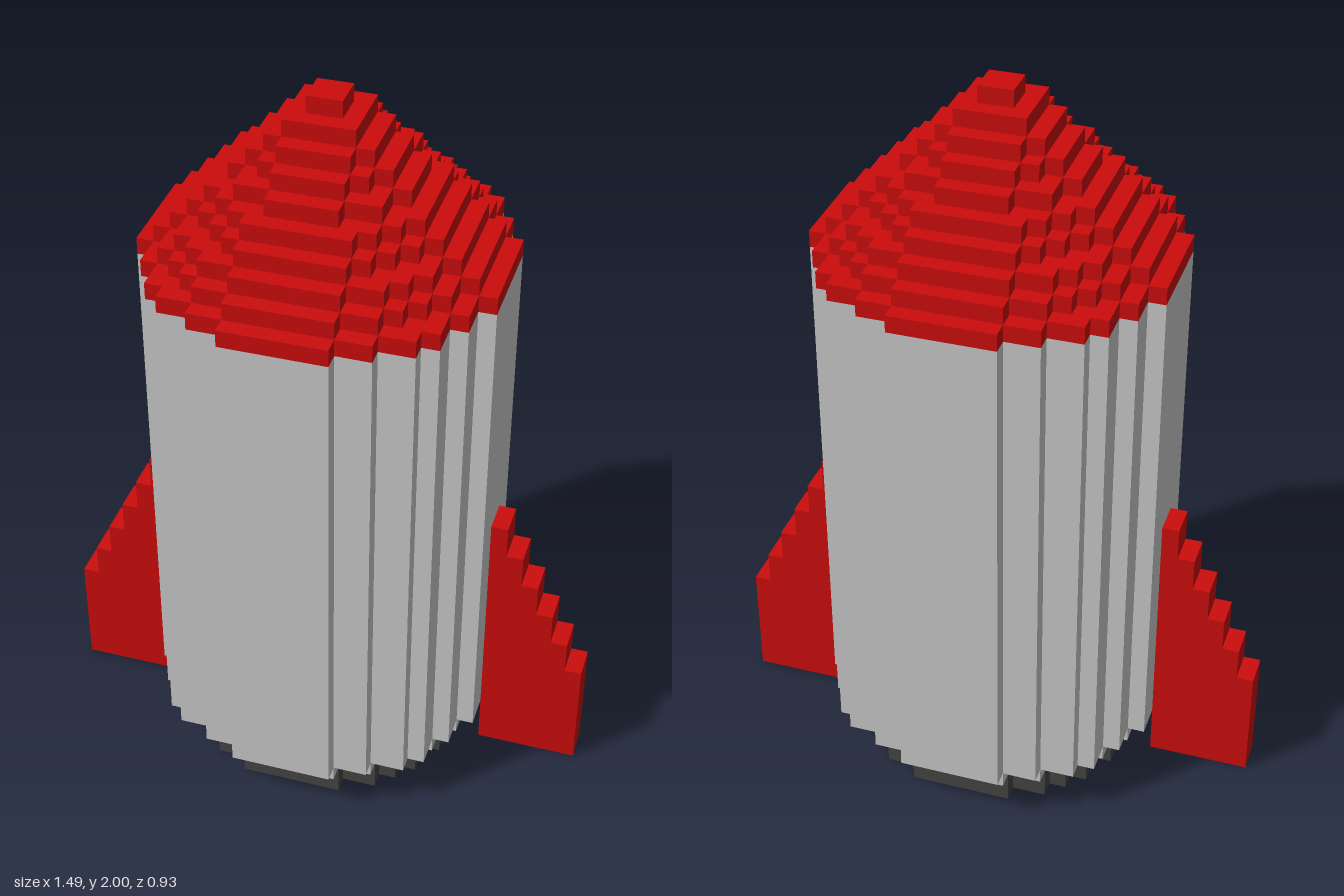
import * as THREE from 'three';

const V = 2 / 43; // edge of one voxel

const red = new THREE.MeshStandardMaterial({ color: 0xcc0c0c });
red.name = 'red';
const grey = new THREE.MeshStandardMaterial({ color: 0xc9c9c9 });
grey.name = 'light grey';
const dark = new THREE.MeshStandardMaterial({ color: 0x444542 });
dark.name = 'dark grey';

// Stepped outline of a voxel disc, r voxels in radius
function discShape(r) {
  const quarter = [];
  for (let row = 1; row <= r; row++) {
    let half = 0;
    while ((half + 0.5) ** 2 + (row - 0.5) ** 2 <= r * r + 0.5) half++;
    quarter.push([half, row - 1], [half, row]);
  }
  const back = quarter.slice().reverse();
  const outline = [
    ...quarter,
    ...back.map(([x, y]) => [-x, y]),
    ...quarter.map(([x, y]) => [-x, -y]),
    ...back.map(([x, y]) => [x, -y]),
  ];
  // Drop repeated points and points in the middle of a straight edge
  const unique = outline.filter((p, i) => {
    const q = outline[(i + 1) % outline.length];
    return p[0] !== q[0] || p[1] !== q[1];
  });
  const corners = unique.filter((p, i) => {
    const a = unique[(i + unique.length - 1) % unique.length];
    const b = unique[(i + 1) % unique.length];
    return (p[0] - a[0]) * (b[1] - p[1]) !== (p[1] - a[1]) * (b[0] - p[0]);
  });
  return new THREE.Shape(corners.map(([x, y]) => new THREE.Vector2(x * V, y * V)));
}

// Upright stack of equal discs between two voxel levels
function disc(name, r, bottom, top, material) {
  const geometry = new THREE.ExtrudeGeometry(discShape(r), {
    depth: (top - bottom) * V,
    bevelEnabled: false,
  });
  geometry.rotateX(-Math.PI / 2);
  geometry.translate(0, bottom * V, 0);
  const mesh = new THREE.Mesh(geometry, material);
  mesh.name = name;
  return mesh;
}

// Fin with a stepped outer edge; side is +1 (left) or -1 (right)
function fin(name, side) {
  const points = [[10, 0]];
  for (let i = 0; i < 6; i++) points.push([10 + i, 17 - 2 * i], [11 + i, 17 - 2 * i]);
  points.push([16, 0]);
  const shape = new THREE.Shape(points.map(([x, y]) => new THREE.Vector2(side * x * V, y * V)));
  const geometry = new THREE.ExtrudeGeometry(shape, { depth: 2 * V, bevelEnabled: false });
  geometry.translate(0, 0, -V);
  const mesh = new THREE.Mesh(geometry, red);
  mesh.name = name;
  return mesh;
}

export function createModel() {
  const rocket = new THREE.Group();
  rocket.name = 'rocket';

  // Engine and hull
  rocket.add(disc('engine', 8, 0, 2, dark));
  rocket.add(disc('hullRim', 9, 2, 3, grey));
  rocket.add(disc('hull', 10, 3, 33, grey));

  // Nose cone, one voxel narrower on each level
  const nose = new THREE.Group();
  nose.name = 'noseCone';
  for (let r = 10; r >= 1; r--) nose.add(disc('noseLayer', r, 43 - r, 44 - r, red));
  rocket.add(nose);

  // Fins
  rocket.add(fin('leftFin', 1), fin('rightFin', -1));
  return rocket;
}
